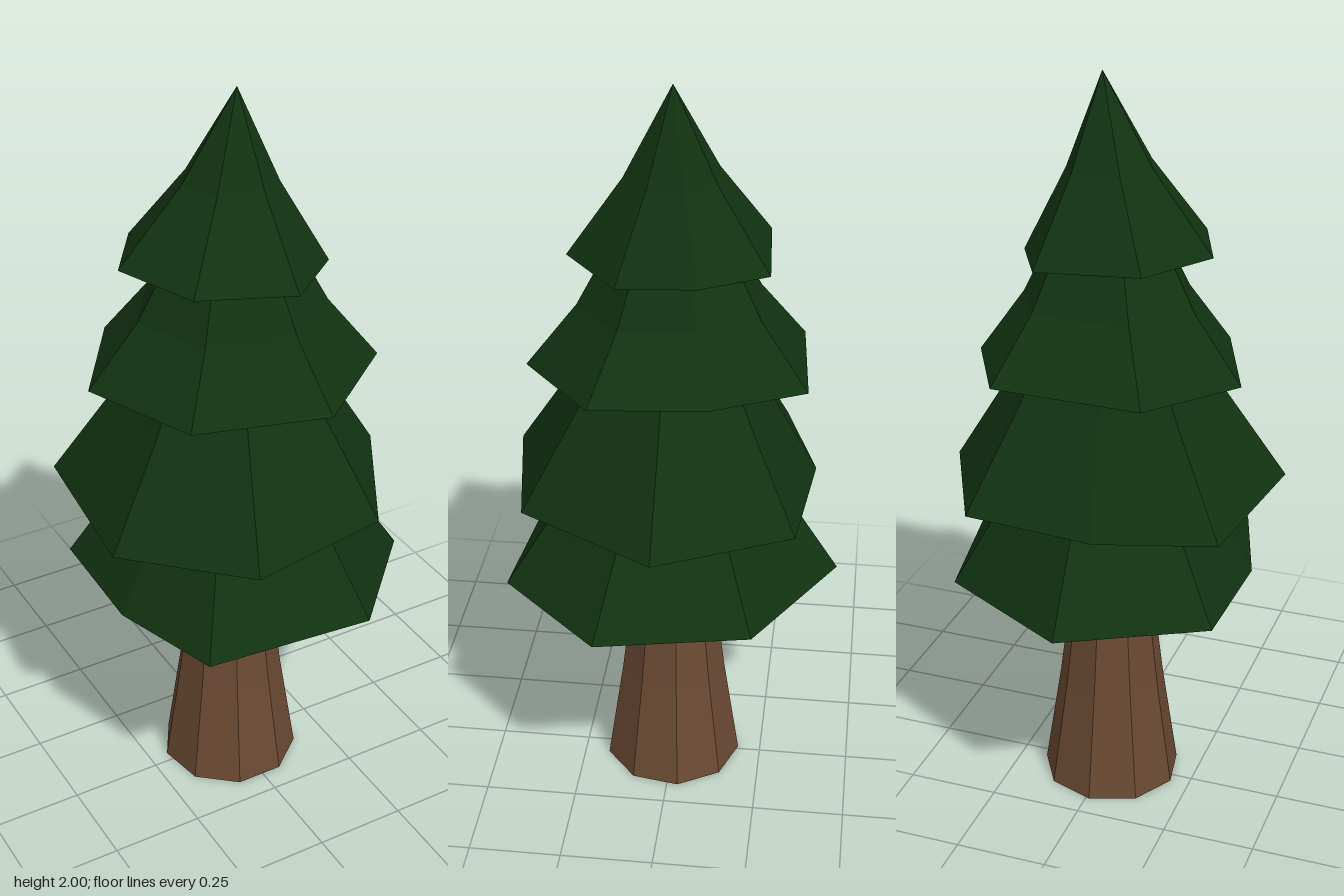
import * as THREE from 'three';

const bark = new THREE.MeshStandardMaterial({ color: 0x6b4a33, flatShading: true, side: THREE.DoubleSide });
bark.name = 'bark brown';
const needles = new THREE.MeshStandardMaterial({ color: 0x113311, flatShading: true });
needles.name = 'needle green';

// Each tier: irregular seven-sided rim [x, z], counter-clockwise from above.
// rings above the rim are [scale toward the axis, height]; tilt leans the rim along x and z.
const TIERS = [
  {
    name: 'lowestBranches', y: 0.65, recess: 0.14, tilt: [0, 0], axis: [0, 0],
    rim: [[0.17, 0.43], [0.43, 0.16], [0.35, -0.24], [-0.01, -0.445], [-0.37, -0.25], [-0.38, 0.09], [-0.285, 0.39]],
    rings: [[0.62, 0.91], [0.55, 0.98]],
  },
  {
    name: 'lowerMiddleBranches', y: 0.91, recess: 0.05, tilt: [0, 0], axis: [0, 0],
    rim: [[0.225, 0.37], [0.437, 0.01], [0.265, -0.34], [-0.09, -0.375], [-0.39, -0.28], [-0.44, 0.176], [-0.17, 0.44]],
    rings: [[0.63, 1.17], [0.47, 1.3]],
  },
  {
    name: 'upperMiddleBranches', y: 1.267, recess: 0.05, tilt: [0.05, -0.015], axis: [0, 0],
    rim: [[0.075, 0.37], [0.33, 0.176], [0.305, -0.12], [0.18, -0.355], [-0.2, -0.327], [-0.376, -0.065], [-0.255, 0.25]],
    rings: [[0.65, 1.43], [0.42, 1.59]],
  },
  {
    name: 'treetop', y: 1.56, recess: 0.04, tilt: [-0.04, 0], axis: [0.015, 0],
    rim: [[0.037, 0.265], [0.21, 0.12], [0.195, -0.08], [0.105, -0.25], [-0.167, -0.233], [-0.29, -0.047], [-0.205, 0.18]],
    rings: [[0.46, 1.765], [0, 2]],
  },
];

// Skin a tier from the hollow underside, over the rim, up to its top ring
function tierGeometry({ y, recess, tilt, axis, rim, rings }) {
  const profile = [[0, y + recess], [0.22, y + recess], [1, y], ...rings];
  const n = rim.length;
  const positions = [];
  const index = [];
  profile.forEach(([s, h]) => rim.forEach(([x, z]) => {
    const px = axis[0] + (x - axis[0]) * s;
    const pz = axis[1] + (z - axis[1]) * s;
    const lean = s > 0 ? tilt[0] * px + tilt[1] * pz : 0;
    positions.push(px, h + lean, pz);
  }));
  for (let k = 0; k < profile.length - 1; k++) {
    for (let i = 0; i < n; i++) {
      const a = k * n + i;
      const b = k * n + (i + 1) % n;
      if (profile[k][0] > 0) index.push(a, b, b + n);
      if (profile[k + 1][0] > 0) index.push(a, b + n, a + n);
    }
  }
  const geometry = new THREE.BufferGeometry();
  geometry.setAttribute('position', new THREE.Float32BufferAttribute(positions, 3));
  geometry.setIndex(index);
  geometry.computeVertexNormals();
  return geometry;
}

export function createModel() {
  const tree = new THREE.Group();
  tree.name = 'pineTree';

  // Flared nine-sided trunk, open at the foot
  const profile = [[0.19, 0], [0.145, 0.3], [0.106, 0.62], [0.1, 0.85]].map(p => new THREE.Vector2(...p));
  const trunk = new THREE.Mesh(new THREE.LatheGeometry(profile, 9, Math.PI / 9), bark);
  trunk.name = 'trunk';
  trunk.position.set(-0.01, 0, 0.003);
  tree.add(trunk);

  // Stacked branch tiers
  for (const tier of TIERS) {
    const mesh = new THREE.Mesh(tierGeometry(tier), needles);
    mesh.name = tier.name;
    tree.add(mesh);
  }
  return tree;
}
